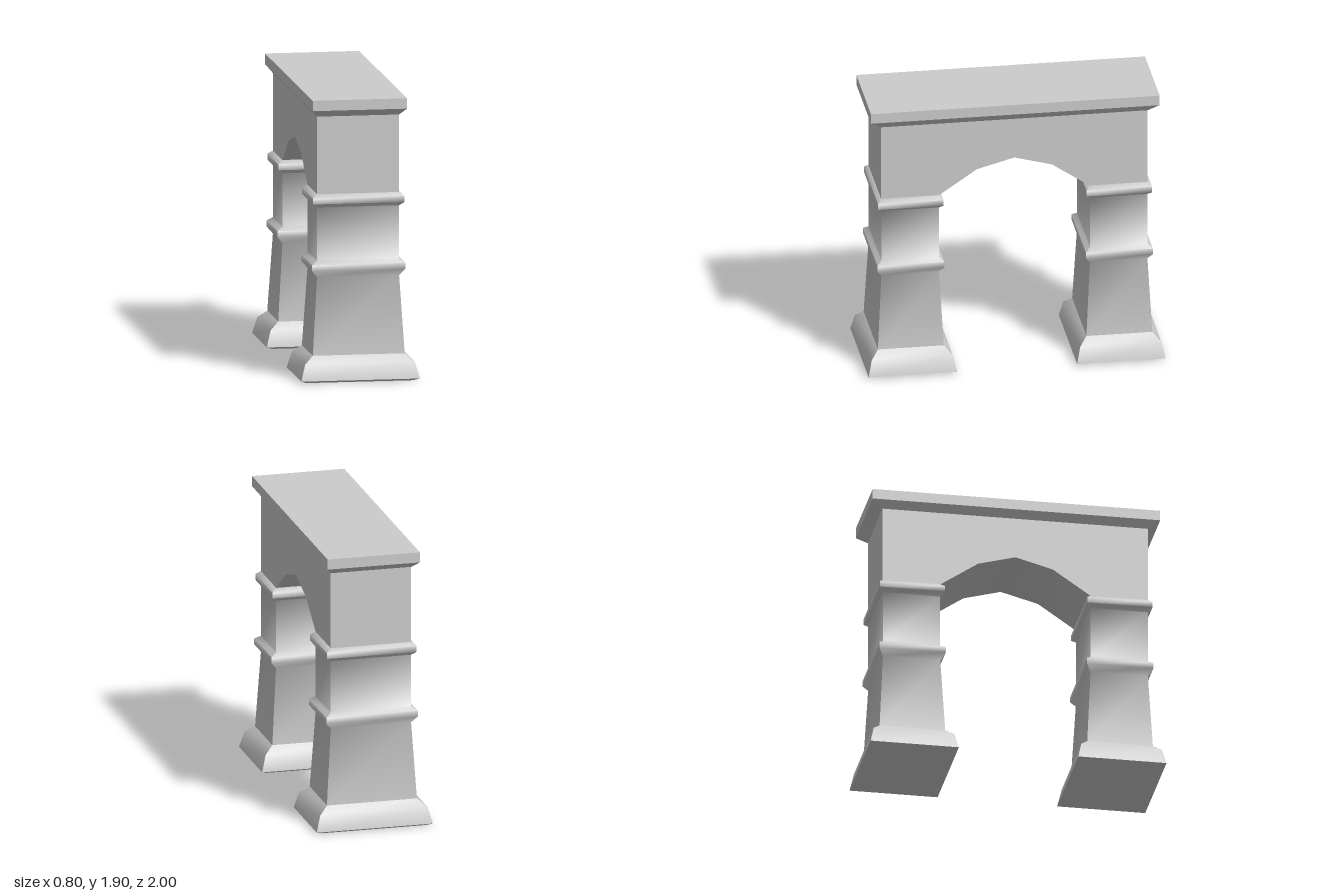
import * as THREE from 'three';
import { toCreasedNormals } from 'three/addons/utils/BufferGeometryUtils.js';

const material = new THREE.MeshStandardMaterial({ color: 0xcccccc });

// Closed solid through rectangular sections [halfX, halfZ, y], listed bottom to top
function rectLoft(sections, crease) {
  const positions = [];
  const index = [];
  for (const [hx, hz, y] of sections) {
    positions.push(-hx, y, hz, hx, y, hz, hx, y, -hz, -hx, y, -hz);
  }
  const last = (sections.length - 1) * 4;
  for (let r = 0; r < last; r += 4) {
    for (let i = 0; i < 4; i++) {
      const j = (i + 1) % 4;
      index.push(r + i, r + j, r + 4 + j, r + i, r + 4 + j, r + 4 + i);
    }
  }
  index.push(0, 2, 1, 0, 3, 2, last, last + 1, last + 2, last, last + 2, last + 3);
  const geometry = new THREE.BufferGeometry();
  geometry.setAttribute('position', new THREE.Float32BufferAttribute(positions, 3));
  geometry.setIndex(index);
  return toCreasedNormals(geometry, crease);
}

function addMesh(parent, name, geometry) {
  const mesh = new THREE.Mesh(geometry, material);
  mesh.name = name;
  parent.add(mesh);
  return mesh;
}

export function createModel() {
  const model = new THREE.Group();
  model.name = 'archway';

  // Piers: bevelled plinth, tapered lower shaft, two moulded bands
  const plinth = rectLoft([
    [0.36, 0.27, 0], [0.4, 0.298, 0.015], [0.37, 0.273, 0.125], [0.31, 0.222, 0.175],
  ], 0.65);
  const shaft = rectLoft([
    [0.31, 0.222, 0.175], [0.277, 0.194, 0.7],
    [0.315, 0.225, 0.745], [0.315, 0.225, 0.785], [0.277, 0.194, 0.81],
    [0.277, 0.194, 1.17],
    [0.309, 0.22, 1.195], [0.309, 0.22, 1.235], [0.277, 0.194, 1.26],
  ], 1.1);
  for (const side of [1, -1]) {
    const pier = new THREE.Group();
    pier.name = side > 0 ? 'frontPier' : 'backPier';
    pier.position.z = side * 0.702;
    addMesh(pier, 'plinth', plinth);
    addMesh(pier, 'bandedShaft', shaft);
    model.add(pier);
  }

  // Wall above the piers with the faceted arch cut from its underside
  const outline = new THREE.Shape([
    [-0.898, 1.26], [-0.506, 1.26], [-0.252, 1.432], [0, 1.5],
    [0.252, 1.432], [0.506, 1.26], [0.898, 1.26], [0.898, 1.785], [-0.898, 1.785],
  ].map(([z, y]) => new THREE.Vector2(z, y)));
  const wall = new THREE.ExtrudeGeometry(outline, { depth: 0.554, bevelEnabled: false });
  wall.translate(0, 0, -0.277).rotateY(-Math.PI / 2);
  addMesh(model, 'archWall', toCreasedNormals(wall, 0.57));

  // Flat cornice slab with a sloped underside
  addMesh(model, 'cornice', rectLoft([
    [0.277, 0.898, 1.783], [0.318, 0.972, 1.833], [0.318, 0.972, 1.903],
  ], 0.2));

  return model;
}
